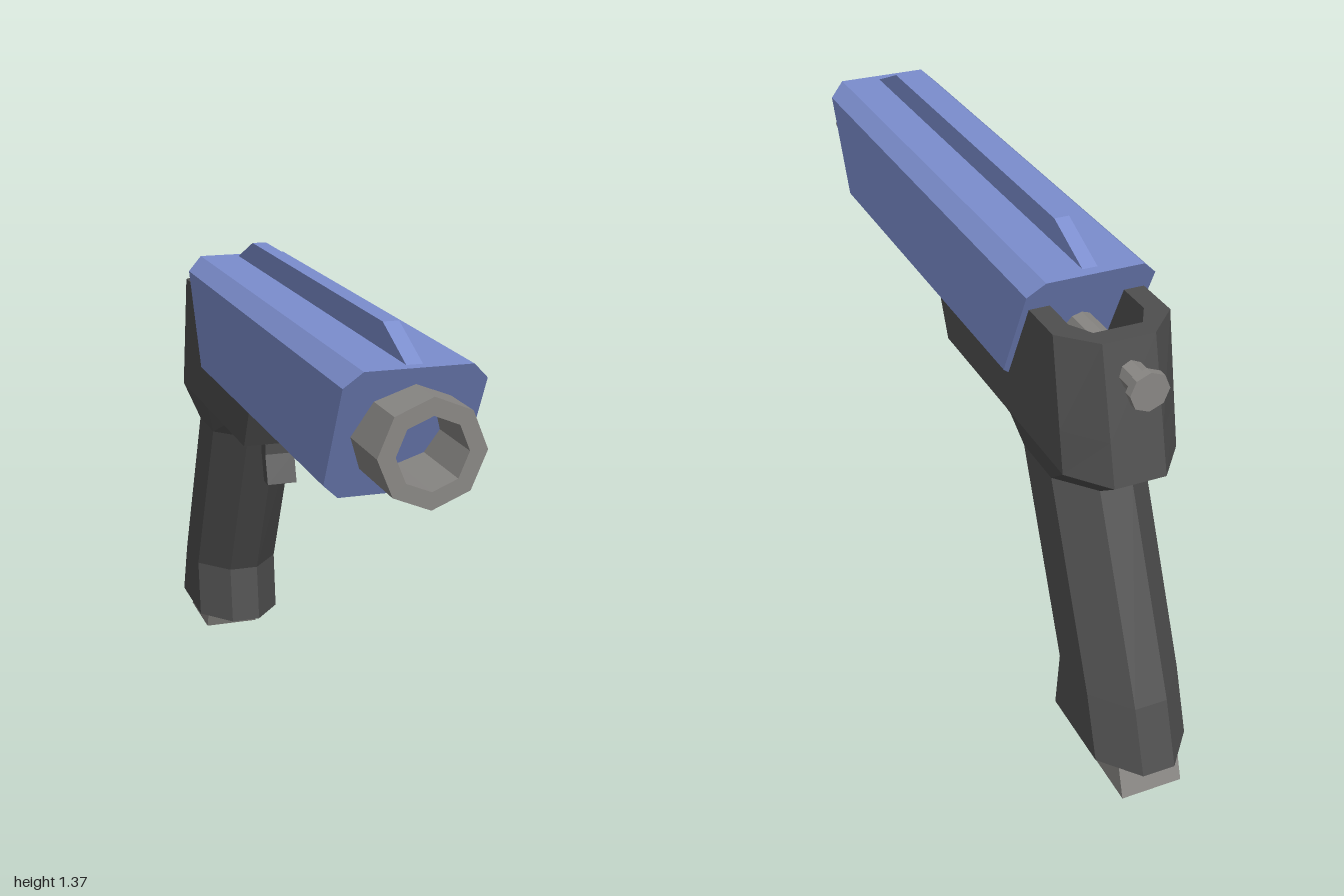
import * as THREE from 'three';

const mat = (name, color) => {
  const m = new THREE.MeshStandardMaterial({ color });
  m.name = name;
  return m;
};

// Unshared vertices give every facet its own normal
function facet(geo) {
  const g = geo.index ? geo.toNonIndexed() : geo;
  g.computeVertexNormals();
  return g;
}

// Half outline [x, z] mirrored across x = 0
const mirror = (half) => [...half, ...half.map(([x, z]) => [-x, z]).reverse()];

// Solid through horizontal sections, listed from bottom to top: [y, half outline]
function loft(sections) {
  const rings = sections.map(([y, half]) => {
    const pts = mirror(half).map(([x, z]) => new THREE.Vector2(x, z));
    if (THREE.ShapeUtils.isClockWise(pts)) pts.reverse();
    return { y, pts };
  });
  const pos = [];
  const put = (r, i) => pos.push(r.pts[i].x, r.y, r.pts[i].y);
  const n = rings[0].pts.length;
  for (let k = 0; k < rings.length - 1; k++) {
    const a = rings[k], b = rings[k + 1];
    for (let i = 0; i < n; i++) {
      const j = (i + 1) % n;
      put(a, j); put(a, i); put(b, i);
      put(a, j); put(b, i); put(b, j);
    }
  }
  const first = rings[0], last = rings[rings.length - 1];
  for (const t of THREE.ShapeUtils.triangulateShape(first.pts, [])) t.forEach((i) => put(first, i));
  for (const t of THREE.ShapeUtils.triangulateShape(last.pts, [])) t.reverse().forEach((i) => put(last, i));
  const g = new THREE.BufferGeometry();
  g.setAttribute('position', new THREE.Float32BufferAttribute(pos, 3));
  return facet(g);
}

const shapeOf = (pts) => new THREE.Shape(pts.map(([u, v]) => new THREE.Vector2(u, v)));

// Side profile [z, y] extruded across the width
function sidePlate(pts, width) {
  const g = new THREE.ExtrudeGeometry(shapeOf(pts), { depth: width, bevelEnabled: false });
  return facet(g.translate(0, 0, -width / 2).rotateY(-Math.PI / 2));
}

// Eight-sided turned part along z, profile [radius, z]
function turned(profile, y) {
  const g = new THREE.LatheGeometry(profile.map(([r, z]) => new THREE.Vector2(r, z)), 8);
  return facet(g.rotateX(Math.PI / 2).translate(0, y, 0));
}

export function createModel() {
  const blue = mat('blue', 0x7b8dcd);
  const grey = mat('grey', 0x898784);
  const dark = mat('dark grey', 0x4e4e4e);
  const model = new THREE.Group();
  const add = (name, geo, material) => {
    const m = new THREE.Mesh(geo, material);
    m.name = name;
    model.add(m);
  };

  // Slide: chamfered box whose ends lean outwards towards the top
  const slide = new THREE.ExtrudeGeometry(shapeOf([
    [-0.13, 0.96], [0.13, 0.96], [0.172, 1.0], [0.172, 1.265],
    [0.13, 1.305], [-0.13, 1.305], [-0.172, 1.265], [-0.172, 1.0],
  ]), { depth: 1, bevelEnabled: false });
  const p = slide.attributes.position;
  for (let i = 0; i < p.count; i++) {
    const t = (p.getY(i) - 0.96) / 0.345;
    p.setZ(i, p.getZ(i) > 0.5 ? 0.74 + 0.17 * t : -0.39 - 0.17 * t);
  }
  add('slide', facet(slide), blue);

  // Sight rib along the top
  add('sightRib', sidePlate([[0.89, 1.3], [0.725, 1.37], [-0.37, 1.37], [-0.54, 1.3]], 0.04), blue);

  // Hollow barrel
  add('barrel', turned([[0.13, 0.7], [0.13, 1], [0.087, 1], [0.087, 0.7]], 1.133), grey);

  // Frame under the slide
  const body = (front, side, rear) => [[0.155, front], [0.155, side], [0.07, rear]];
  add('frame', loft([
    [0.872, body(0.005, -0.72, -0.825)],
    [0.985, body(0.06, -0.697, -0.796)],
  ]), dark);

  // Open-topped housing behind the slide
  const shell = (front, side, rear, inSide, inRear) =>
    [[0.065, inRear], [0.1, inSide], [0.1, front], ...body(front, side, rear)];
  add('rearHousing', loft([
    [0.985, shell(-0.39, -0.697, -0.796, -0.67, -0.74)],
    [1.22, shell(-0.51, -0.65, -0.735, -0.62, -0.68)],
  ]), dark);

  // Grip with chamfered front and back
  const grip = (w, flat, f, fs, rs, r) => [[flat, f], [w, fs], [w, rs], [flat, r]];
  add('grip', loft([
    [0.09, grip(0.13, 0.045, -0.565, -0.66, -0.9, -1)],
    [0.265, grip(0.13, 0.045, -0.587, -0.68, -0.84, -0.94)],
    [0.785, grip(0.13, 0.045, -0.355, -0.445, -0.607, -0.707)],
    [0.872, grip(0.155, 0.07, -0.305, -0.41, -0.72, -0.825)],
  ]), dark);

  // Magazine base
  add('magazine', sidePlate([[-0.72, 0.092], [-0.94, 0.092], [-0.97, 0], [-0.755, 0]], 0.17), grey);

  // Trigger
  add('trigger', sidePlate([
    [-0.168, 0.88], [-0.21, 0.88], [-0.21, 0.79], [-0.183, 0.7], [-0.143, 0.7], [-0.168, 0.785],
  ], 0.088), dark);

  // Charging pin with a round head
  add('pin', turned([
    [0, -0.845], [0.052, -0.845], [0.052, -0.822], [0.034, -0.822], [0.034, -0.45], [0, -0.45],
  ], 1.135), grey);

  return model;
}
